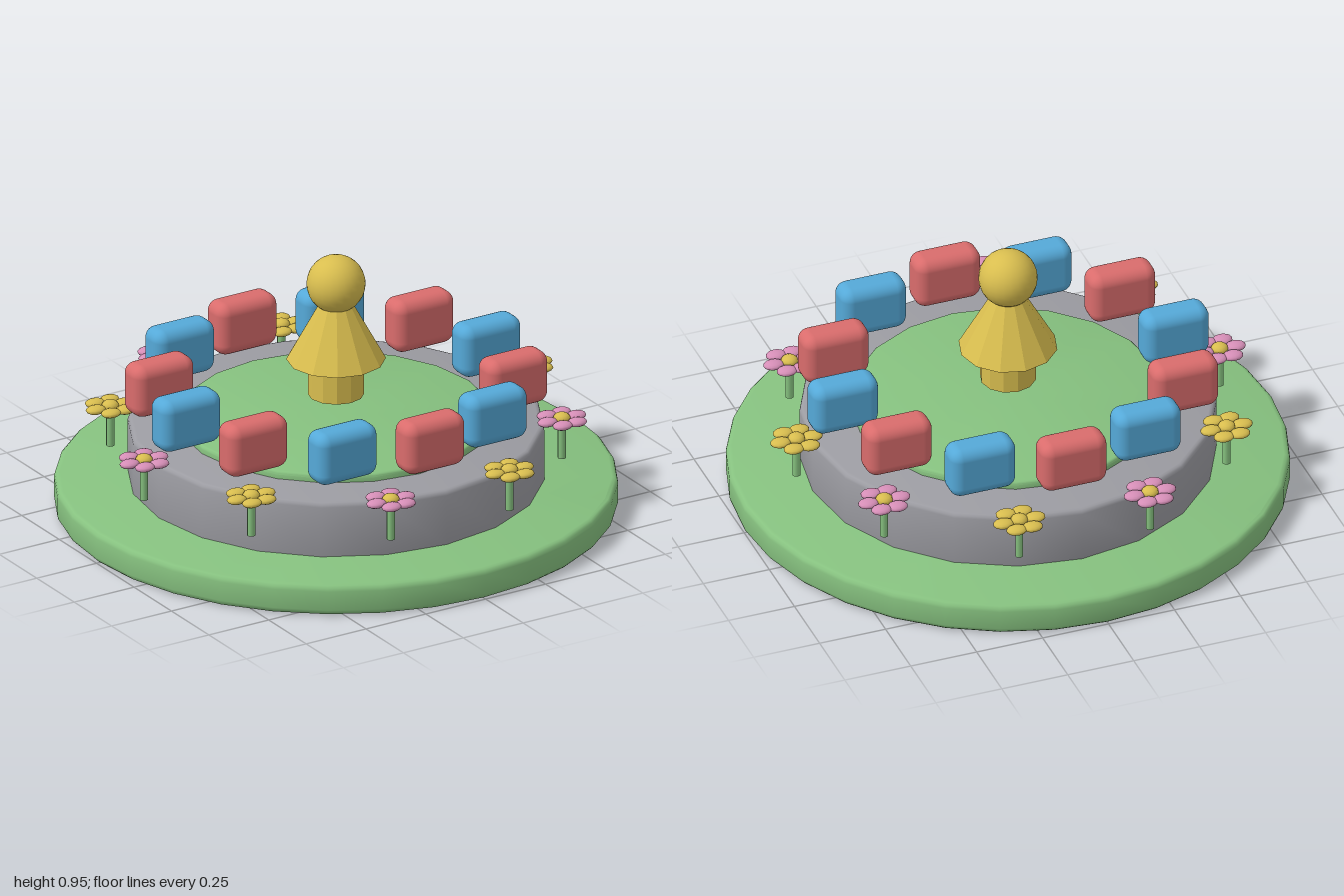
import * as THREE from 'three';
import { toCreasedNormals } from 'three/addons/utils/BufferGeometryUtils.js';
import { RoundedBoxGeometry } from 'three/addons/geometries/RoundedBoxGeometry.js';

const material = (name, color, flatShading = false) => {
  const m = new THREE.MeshStandardMaterial({ color, flatShading });
  m.name = name;
  return m;
};

// Disc with softly rounded rims, turned on a lathe
function roundedDisc(radius, bottom, top, bevel, sides) {
  const points = [new THREE.Vector2(0, bottom)];
  for (let i = 0; i <= 3; i++) {
    const a = -Math.PI / 2 + (i / 3) * Math.PI / 2;
    points.push(new THREE.Vector2(radius - bevel + bevel * Math.cos(a), bottom + bevel + bevel * Math.sin(a)));
  }
  for (let i = 0; i <= 3; i++) {
    const a = (i / 3) * Math.PI / 2;
    points.push(new THREE.Vector2(radius - bevel + bevel * Math.cos(a), top - bevel + bevel * Math.sin(a)));
  }
  points.push(new THREE.Vector2(0, top));
  return toCreasedNormals(new THREE.LatheGeometry(points, sides), 0.6);
}

export function createModel() {
  const model = new THREE.Group();
  model.name = 'roundGarden';

  const green = material('leafGreen', 0x86c17f);
  const grey = material('stoneGrey', 0x9c9ca2);
  const red = material('softRed', 0xd96c6c);
  const blue = material('skyBlue', 0x55a9d8);
  const gold = material('gold', 0xd9be4f);
  const pink = material('petalPink', 0xd78fb8);

  const add = (parent, name, geometry, mat, x = 0, y = 0, z = 0) => {
    const mesh = new THREE.Mesh(geometry, mat);
    mesh.name = name;
    mesh.position.set(x, y, z);
    parent.add(mesh);
    return mesh;
  };

  // Stepped ground
  add(model, 'lawn', roundedDisc(1, 0.005, 0.12, 0.022, 32), green);
  add(model, 'stonePlatform', roundedDisc(0.74, 0.1, 0.327, 0.018, 20), grey);
  add(model, 'innerLawn', roundedDisc(0.56, 0.3, 0.355, 0.012, 20), green);

  // Ring of hovering blocks, all facing the same way
  const blockGeometry = new RoundedBoxGeometry(0.248, 0.196, 0.12, 4, 0.042);
  for (let i = 0; i < 12; i++) {
    const a = (i / 12) * Math.PI * 2;
    add(model, 'block', blockGeometry, i % 2 ? red : blue,
      0.627 * Math.cos(a), 0.477, 0.627 * Math.sin(a));
  }

  // Central figure: post, faceted skirt and ball head
  const figure = new THREE.Group();
  figure.name = 'figure';
  model.add(figure);
  const faceted = (geometry) => toCreasedNormals(geometry, 0.3);
  add(figure, 'post', faceted(new THREE.CylinderGeometry(0.1, 0.1, 0.14, 12)), gold, 0, 0.5, 0);
  add(figure, 'skirt', faceted(new THREE.ConeGeometry(0.177, 0.32, 12)), gold, 0, 0.726, 0);
  add(figure, 'head', new THREE.SphereGeometry(0.105, 24, 16), gold, 0, 0.855, 0);

  // Flowers around the platform
  const stemGeometry = new THREE.CylinderGeometry(0.015, 0.015, 0.125, 8);
  const petalGeometry = new THREE.SphereGeometry(1, 12, 8).scale(0.038, 0.015, 0.03);
  const heartGeometry = new THREE.SphereGeometry(1, 12, 8).scale(0.031, 0.02, 0.031);
  for (let i = 0; i < 10; i++) {
    const a = (i / 10) * Math.PI * 2;
    const flower = new THREE.Group();
    flower.name = 'flower';
    flower.position.set(0.802 * Math.cos(a), 0, 0.765 * Math.sin(a) / 0.955);
    model.add(flower);
    add(flower, 'stem', stemGeometry, green, 0, 0.269, 0);
    add(flower, 'flowerHeart', heartGeometry, gold, 0, 0.361, 0);
    for (let p = 0; p < 6; p++) {
      const b = (p / 6) * Math.PI * 2;
      add(flower, 'petal', petalGeometry, i % 2 ? pink : gold,
        0.06 * Math.cos(b), 0.357, 0.062 * Math.sin(b));
    }
  }
  return model;
}
